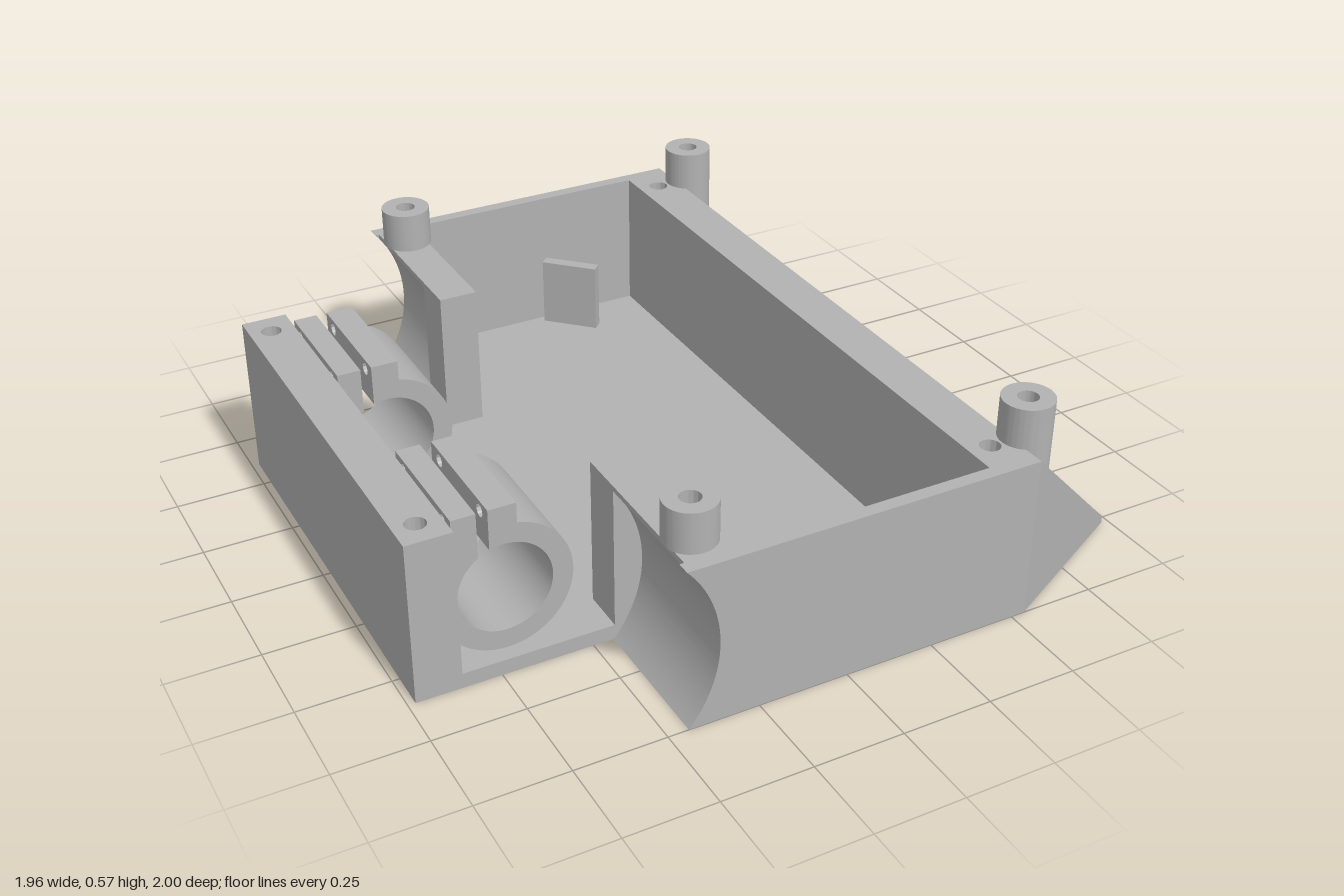
import * as THREE from 'three';
import { toCreasedNormals } from 'three/addons/utils/BufferGeometryUtils.js';

const plastic = new THREE.MeshStandardMaterial({ color: 0xb2b2b2 });
plastic.name = 'grey plastic';

const H = 0.46, FLOOR = 0.043; // wall height, floor thickness
const AX = -0.712, AY = 0.225; // axle axis shared by clamps and wheel cut-outs

const polygon = (pts) => new THREE.Shape(pts.map(([x, y]) => new THREE.Vector2(x, y)));
const rect = (x0, x1, y0, y1) => polygon([[x0, y0], [x1, y0], [x1, y1], [x0, y1]]);
const circle = (x, y, r) => new THREE.Path().absarc(x, y, r, 0, Math.PI * 2, false);

function extrude(shape, depth) {
  return new THREE.ExtrudeGeometry(shape, { depth, bevelEnabled: false, curveSegments: 32 });
}

// Plan shape drawn in (x, -z), raised from y0 to y1
function raise(shape, y0, y1) {
  return extrude(shape, y1 - y0).rotateX(-Math.PI / 2).translate(0, y0, 0);
}

// Side profile drawn in (x, y), spanning z0 to z1
function span(shape, z0, z1) {
  return extrude(shape, z1 - z0).translate(0, 0, z0);
}

// Wall profile whose back end is hollowed by the wheel cylinder
function hollowedProfile(xBack, xFront) {
  const r = 0.35;
  const dx = xBack - AX;
  const top = Math.min(Math.asin((H - AY) / r), Math.acos(dx / r));
  const low = -Math.asin(AY / r);
  const s = new THREE.Shape();
  s.moveTo(xFront, 0);
  s.lineTo(xFront, H);
  s.lineTo(AX + r * Math.cos(top), H);
  s.absarc(AX, AY, r, top, low, true);
  s.closePath();
  return s;
}

// Split ring that merges into the back wall
function clampProfile() {
  const R = 0.182, r = 0.127;
  const s = new THREE.Shape();
  s.moveTo(-0.75, 0.346);
  s.lineTo(-0.75, 0.403);
  s.absarc(AX, AY, R, Math.acos(0.037 / R), -(Math.PI - Math.acos(0.143 / R)), true);
  s.lineTo(-0.855, 0.35);
  s.lineTo(-0.845, 0.35);
  s.lineTo(-0.845, 0.403);
  s.lineTo(-0.78, 0.403);
  s.absarc(AX, AY, r, Math.acos(-0.068 / r), Math.acos(-0.038 / r) + Math.PI * 2, false);
  s.closePath();
  return s;
}

export function createModel() {
  const model = new THREE.Group();
  model.name = 'chassis';
  const add = (name, geometry) => {
    const mesh = new THREE.Mesh(toCreasedNormals(geometry, 0.5), plastic);
    mesh.name = name;
    model.add(mesh);
    return mesh;
  };

  // Floor with a window near the back
  const floor = polygon([
    [-0.98, -0.605], [-0.33, -0.605], [-0.33, -0.965], [0.41, -0.965],
    [0.41, 0.965], [-0.33, 0.965], [-0.33, 0.605], [-0.98, 0.605],
  ]);
  floor.holes.push(rect(-0.845, -0.675, -0.138, 0.138));
  add('floor', raise(floor, 0, FLOOR));

  // Back wall with screw holes
  const back = rect(-0.98, -0.855, -0.605, 0.605);
  back.holes.push(circle(-0.92, 0.53, 0.028), circle(-0.92, -0.53, 0.028));
  add('backWall', raise(back, FLOOR, H));

  // Nose rail with screw holes
  const rail = rect(0.41, 0.54, -1, 1);
  rail.holes.push(circle(0.473, 0.88, 0.028), circle(0.473, -0.88, 0.028));
  add('noseRailBase', raise(rect(0.41, 0.54, -1, 1), 0, FLOOR));
  add('noseRail', raise(rail, FLOOR, H));

  // Sloping nose: the far top edge drops to a thin lip
  const nose = raise(polygon([[0.54, -1], [0.98, -0.77], [0.98, 0.77], [0.54, 1]]), 0, H);
  const p = nose.attributes.position;
  for (let i = 0; i < p.count; i++) {
    if (p.getX(i) > 0.9 && p.getY(i) > 0.1) p.setY(i, 0.02);
  }
  nose.computeVertexNormals();
  add('slopingNose', nose);

  const sideProfile = hollowedProfile(-0.46, 0.41);
  const archProfile = hollowedProfile(-0.44, -0.33);
  const clamp = clampProfile();

  for (const s of [1, -1]) {
    const tag = s > 0 ? 'Left' : 'Right';
    const both = (shape, a, b) => span(shape, Math.min(a * s, b * s), Math.max(a * s, b * s));

    // Walls around the wheel hollow
    add('sideWall' + tag, both(sideProfile, 0.963, 1));
    add('wheelHollow' + tag, both(archProfile, 0.605, 0.963));
    add('innerWall' + tag, both(rect(-0.44, -0.33, FLOOR, H), 0.48, 0.605));

    // Axle clamp with two drilled ears
    add('axleClamp' + tag, both(clamp, 0.21, 0.56));
    for (const [x0, x1] of [[-0.845, -0.78], [-0.75, -0.675]]) {
      const ear = rect(-0.175, 0.175, 0.403, H);
      ear.holes.push(circle(-0.125, 0.432, 0.018), circle(0.125, 0.432, 0.018));
      const g = extrude(ear, x1 - x0).rotateY(Math.PI / 2).translate(x0, 0, s * 0.385);
      add('clampEar' + tag, g);
    }

    // Hollow mounting posts
    for (const [x, y0] of [[-0.38, H], [0.578, 0.33]]) {
      const ring = new THREE.Shape().absarc(x, s * 0.88, 0.07, 0, Math.PI * 2, false);
      ring.holes.push(circle(x, s * 0.88, 0.028));
      add('post' + tag, raise(ring, y0, 0.573));
    }

    // Diagonal tab standing on the floor
    const tab = add('diagonalTab' + tag, new THREE.BoxGeometry(0.175, 0.21, 0.035));
    tab.position.set(0.162, FLOOR + 0.105, s * 0.89);
    tab.rotation.y = s * Math.PI / 4;
  }
  return model;
}
